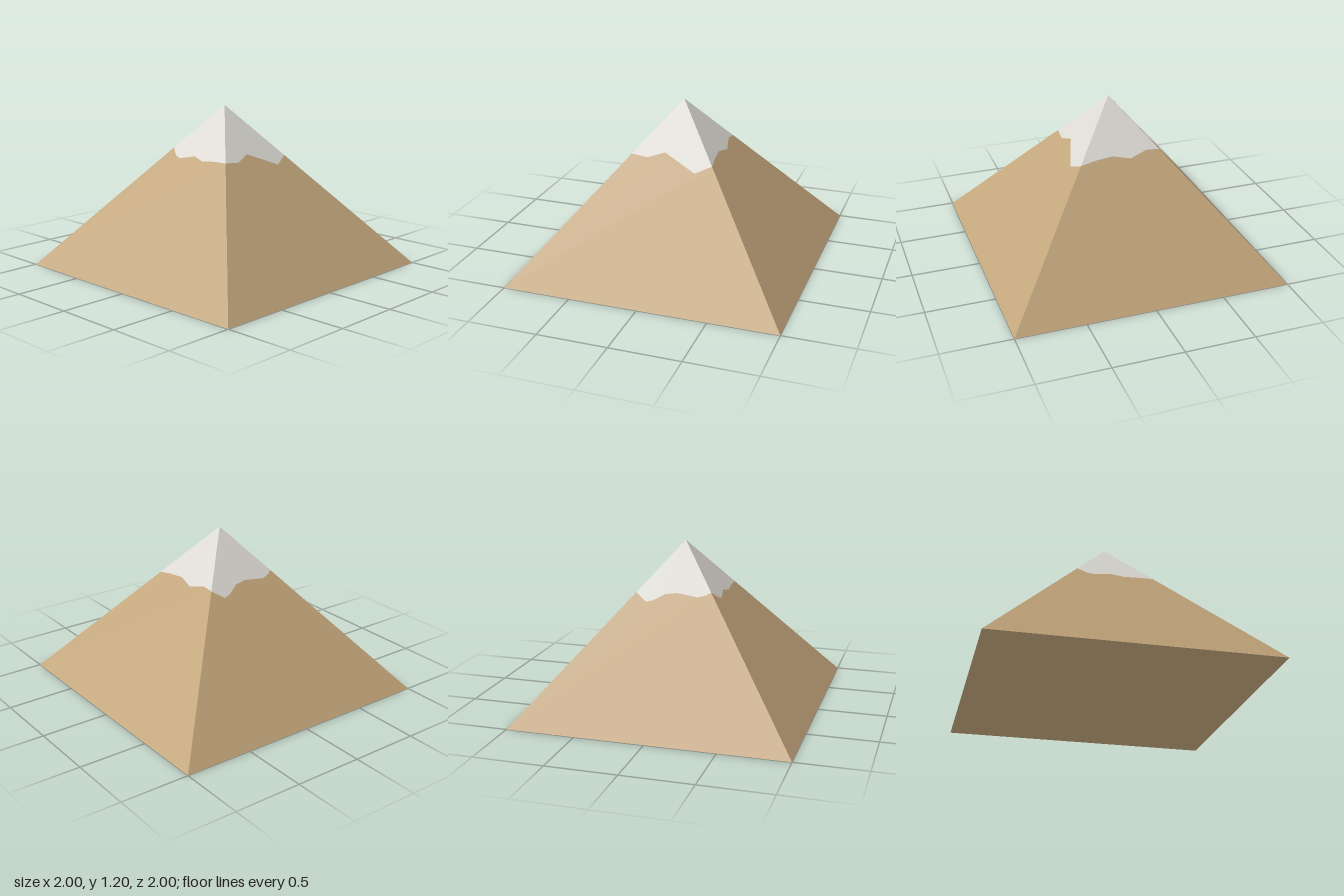
import * as THREE from 'three';

const HEIGHT = 1.2;

// Snow line of each side: [position across the side, distance out from the axis]
const snowLines = {
  front: [[-0.295, 0.295], [-0.17, 0.303], [-0.05, 0.27], [0.195, 0.352], [0.31, 0.31]],
  left: [[-0.31, 0.31], [-0.2, 0.296], [-0.07, 0.287], [0.06, 0.309], [0.19, 0.28], [0.285, 0.285]],
  back: [[-0.285, 0.285], [-0.2, 0.33], [-0.15, 0.32], [-0.07, 0.285], [0.02, 0.275],
    [0.17, 0.29], [0.23, 0.277], [0.262, 0.262]],
  right: [[-0.262, 0.262], [-0.2, 0.3], [-0.15, 0.31], [-0.02, 0.288], [0.07, 0.305],
    [0.2, 0.296], [0.295, 0.295]],
};

// Point on the sloping side that faces +z
const onSlope = ([t, d]) => new THREE.Vector3(t, HEIGHT * (1 - d), d);

// Flat fan of triangles from a hub to a row of points
function fan(hub, row) {
  const points = [];
  for (let i = 0; i < row.length - 1; i++) points.push(hub, row[i], row[i + 1]);
  const geometry = new THREE.BufferGeometry().setFromPoints(points.map(onSlope));
  geometry.computeVertexNormals();
  return geometry;
}

export function createModel() {
  const rock = new THREE.MeshStandardMaterial({ color: 0xc3a67c, side: THREE.DoubleSide });
  rock.name = 'tan rock';
  const snow = new THREE.MeshStandardMaterial({ color: 0xdddad4, side: THREE.DoubleSide });
  snow.name = 'pale snow';

  const mountain = new THREE.Group();
  mountain.name = 'mountain';

  // Four sides, each a rock slope below and a snow cap above, open underneath
  Object.entries(snowLines).forEach(([name, line], k) => {
    const side = new THREE.Group();
    side.name = `${name}Side`;
    side.rotation.y = k * Math.PI / 2;

    const slope = new THREE.Mesh(fan([-1, 1], [[1, 1], ...[...line].reverse()]), rock);
    slope.name = `${name}RockSlope`;
    const cap = new THREE.Mesh(fan([0, 0], line), snow);
    cap.name = `${name}SnowCap`;

    side.add(slope, cap);
    mountain.add(side);
  });

  return mountain;
}
